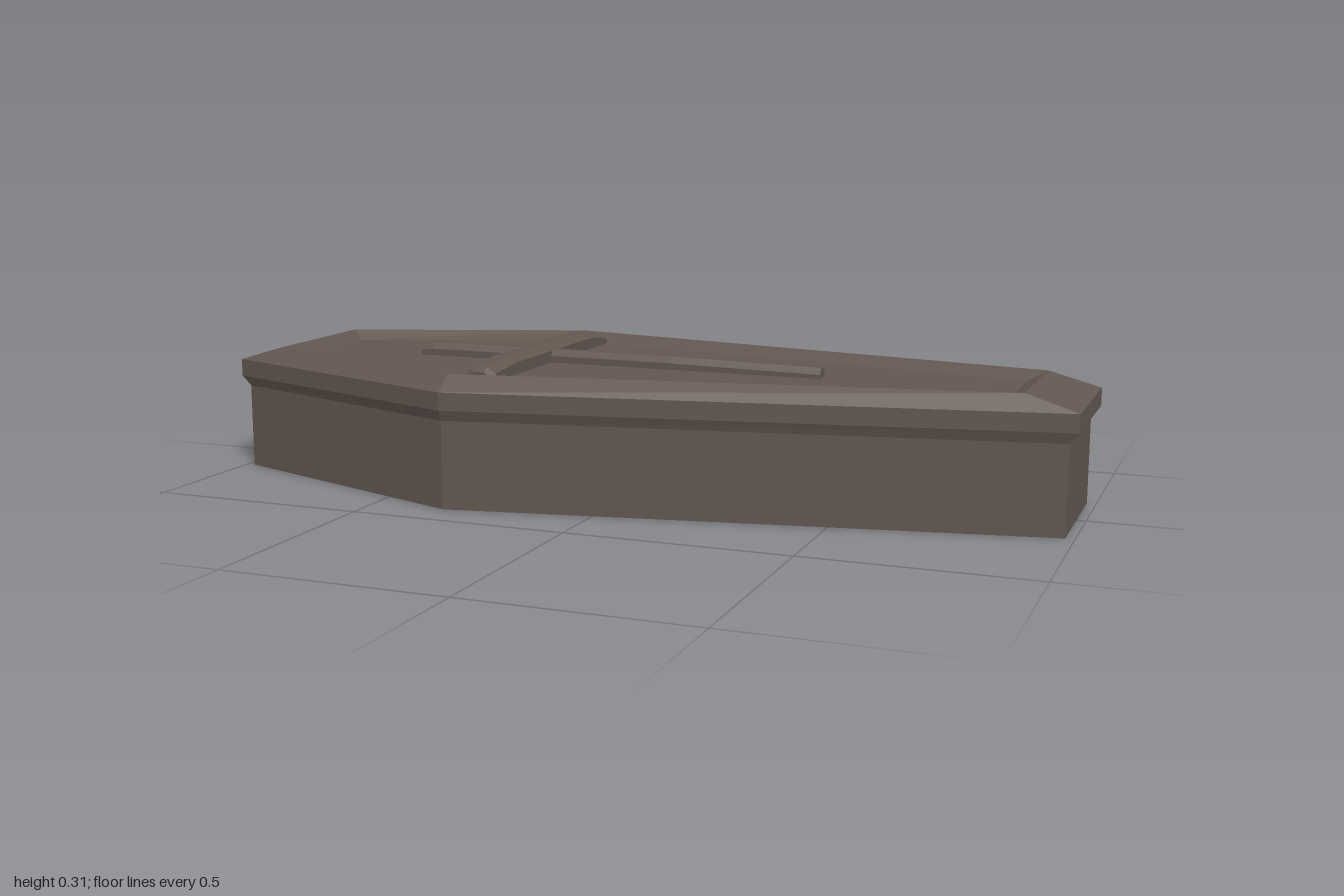
import * as THREE from 'three';

const material = new THREE.MeshStandardMaterial({ color: 0x62564f, flatShading: true, roughness: 0.9 });

// Closed solid through a series of rings, each counter-clockwise seen from the last ring's side
function loft(name, rings) {
  const pos = [];
  const tri = (a, b, c) => pos.push(...a, ...b, ...c);
  const n = rings[0].length;
  for (let r = 0; r + 1 < rings.length; r++) {
    const a = rings[r], b = rings[r + 1];
    for (let i = 0; i < n; i++) {
      const j = (i + 1) % n;
      tri(a[i], a[j], b[j]);
      tri(a[i], b[j], b[i]);
    }
  }
  const first = rings[0], last = rings[rings.length - 1];
  for (let i = 1; i + 1 < n; i++) {
    tri(first[0], first[i + 1], first[i]);
    tri(last[0], last[i], last[i + 1]);
  }
  const geometry = new THREE.BufferGeometry();
  geometry.setAttribute('position', new THREE.Float32BufferAttribute(pos, 3));
  geometry.computeVertexNormals();
  const mesh = new THREE.Mesh(geometry, material);
  mesh.name = name;
  return mesh;
}

// Six-sided coffin outline: head end, shoulders and foot end
const SHOULDER_X = -0.33;
const outline = ([y, headX, headW, shoulderW, footX, footW]) => [
  [footX, y, footW], [footX, y, -footW], [SHOULDER_X, y, -shoulderW],
  [headX, y, -headW], [headX, y, headW], [SHOULDER_X, y, shoulderW],
];

// Bar along x with bevelled upper edges; stations are [x, top height, half width]
function bar(name, bottom, stations) {
  return loft(name, stations.map(([x, top, w]) => {
    const side = top - 0.014;
    return [[x, bottom, -w], [x, side, -w], [x, top, -w * 0.4],
      [x, top, w * 0.4], [x, side, w], [x, bottom, w]];
  }));
}

export function createModel() {
  const model = new THREE.Group();
  model.name = 'coffin';

  // Straight-walled box
  model.add(loft('box', [
    [0, -0.98, 0.17, 0.41, 0.98, 0.165],
    [0.2, -0.98, 0.17, 0.41, 0.98, 0.165],
  ].map(outline)));

  // Overhanging lid: undercut, edge, outer bevel, then slope down to the sunken panel
  model.add(loft('lid', [
    [0.198, -0.98, 0.17, 0.41, 0.98, 0.165],
    [0.222, -1, 0.175, 0.42, 1, 0.17],
    [0.262, -1, 0.175, 0.42, 1, 0.17],
    [0.296, -0.89, 0.17, 0.373, 0.885, 0.155],
    [0.274, -0.86, 0.147, 0.328, 0.845, 0.135],
  ].map(outline)));

  // Raised cross on the panel
  const cross = new THREE.Group();
  cross.name = 'cross';
  const upright = bar('crossUpright', 0.265, [
    [-0.59, 0.3, 0.022], [-0.56, 0.304, 0.022], [0.05, 0.303, 0.02], [0.41, 0.297, 0.019],
  ]);
  upright.position.z = -0.004;
  const arm = bar('crossArm', 0.265, [
    [-0.322, 0.295, 0.037], [-0.305, 0.305, 0.037], [-0.21, 0.315, 0.037],
    [0.21, 0.315, 0.037], [0.305, 0.305, 0.037], [0.322, 0.295, 0.037],
  ]);
  arm.rotation.y = Math.PI / 2;
  arm.position.x = -0.283;
  cross.add(upright, arm);
  model.add(cross);

  return model;
}
